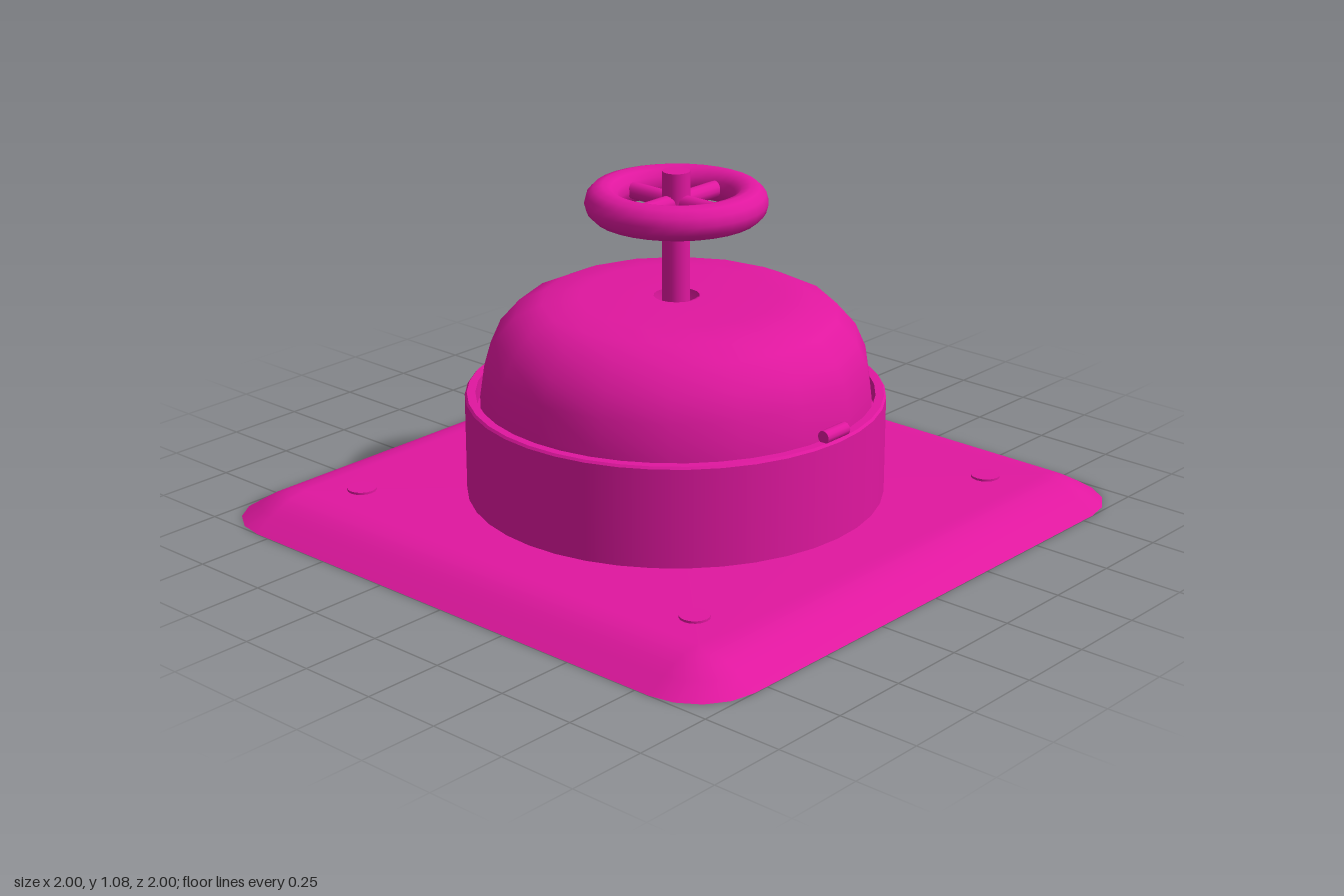
import * as THREE from 'three';

const material = new THREE.MeshStandardMaterial({ color: 0xe0179f, side: THREE.DoubleSide });

function add(parent, name, geometry, x = 0, y = 0, z = 0) {
  const mesh = new THREE.Mesh(geometry, material);
  mesh.name = name;
  mesh.position.set(x, y, z);
  parent.add(mesh);
  return mesh;
}

const lathe = (points, sides) =>
  new THREE.LatheGeometry(points.map(([r, y]) => new THREE.Vector2(r, y)), sides);

// Rounded square plate lofted through loops: [core half-width, corner radius, height]
function plateGeometry(loops) {
  const steps = 4, count = 4 * (steps + 1);
  const positions = [], index = [];
  for (const [half, radius, y] of loops) {
    for (let corner = 0; corner < 4; corner++) {
      const mid = (corner + 0.5) * Math.PI / 2;
      for (let s = 0; s <= steps; s++) {
        const a = (corner + s / steps) * Math.PI / 2;
        positions.push(
          Math.sign(Math.cos(mid)) * half + radius * Math.cos(a), y,
          Math.sign(Math.sin(mid)) * half + radius * Math.sin(a));
      }
    }
  }
  for (let j = 0; j < loops.length - 1; j++) {
    // Loops 1 and 2 coincide to keep the bottom rim sharp
    if (j === 1) continue;
    for (let i = 0; i < count; i++) {
      const k = (i + 1) % count;
      const a = j * count + i, b = j * count + k;
      const c = a + count, d = b + count;
      index.push(a, c, b, b, c, d);
    }
  }
  const geometry = new THREE.BufferGeometry();
  geometry.setAttribute('position', new THREE.Float32BufferAttribute(positions, 3));
  geometry.setIndex(index);
  geometry.computeVertexNormals();
  return geometry;
}

export function createModel() {
  const model = new THREE.Group();
  model.name = 'hatch';

  // Base plate with sloping rounded edges
  add(model, 'basePlate', plateGeometry([
    [0, 0, 0], [0.8, 0.2, 0], [0.8, 0.2, 0], [0.8, 0.14, 0.037], [0.8, 0.1, 0.058],
    [0.8, 0.06, 0.073], [0.8, 0.005, 0.08], [0, 0, 0.08],
  ]));

  // Bolt heads at the plate corners
  for (const x of [-0.68, 0.68]) {
    for (const z of [-0.68, 0.68]) {
      add(model, 'bolt', new THREE.CylinderGeometry(0.045, 0.045, 0.03, 16), x, 0.072, z);
    }
  }

  // Collar: outer wall, lip and inner floor as separate sharp-edged bands
  const collar = new THREE.Group();
  collar.name = 'collar';
  model.add(collar);
  add(collar, 'collarWall', lathe([[0.64, 0.07], [0.64, 0.385]], 40));
  add(collar, 'collarBevel', lathe([[0.64, 0.385], [0.634, 0.392]], 40));
  add(collar, 'collarLip', lathe([[0.634, 0.392], [0.608, 0.392]], 40));
  add(collar, 'collarInside', lathe([[0.608, 0.392], [0.608, 0.33]], 40));
  add(collar, 'collarFloor', lathe([[0.608, 0.33], [0.5, 0.33]], 40));

  // Domed lid with a central shaft hole
  add(model, 'lid', lathe([
    [0.598, 0.33], [0.598, 0.4], [0.583, 0.5], [0.55, 0.575], [0.49, 0.643],
    [0.41, 0.68], [0.3, 0.692], [0.07, 0.692],
  ], 18), 0.005);
  add(model, 'shaftHole', lathe([[0.07, 0.692], [0.07, 0.6], [0.001, 0.6]], 18));

  // Hinge pin on the left side
  const hinge = add(model, 'hinge', new THREE.CylinderGeometry(0.02, 0.02, 0.1, 12), 0.618, 0.408, 0);
  hinge.rotation.x = Math.PI / 2;

  // Handwheel: shaft, rim and crossed spokes
  const wheel = new THREE.Group();
  wheel.name = 'handwheel';
  model.add(wheel);
  add(wheel, 'shaft', new THREE.CylinderGeometry(0.042, 0.042, 0.48, 16), 0.003, 0.84, 0);
  const rim = add(wheel, 'rim', new THREE.TorusGeometry(0.222, 0.053, 12, 32), 0.004, 0.985, 0);
  rim.rotation.x = Math.PI / 2;
  for (const turn of [0, Math.PI / 2]) {
    const spoke = add(wheel, 'spoke', new THREE.CylinderGeometry(0.026, 0.026, 0.4, 12), 0.004, 0.985, 0);
    spoke.rotation.set(Math.PI / 2, 0, turn);
  }

  return model;
}
